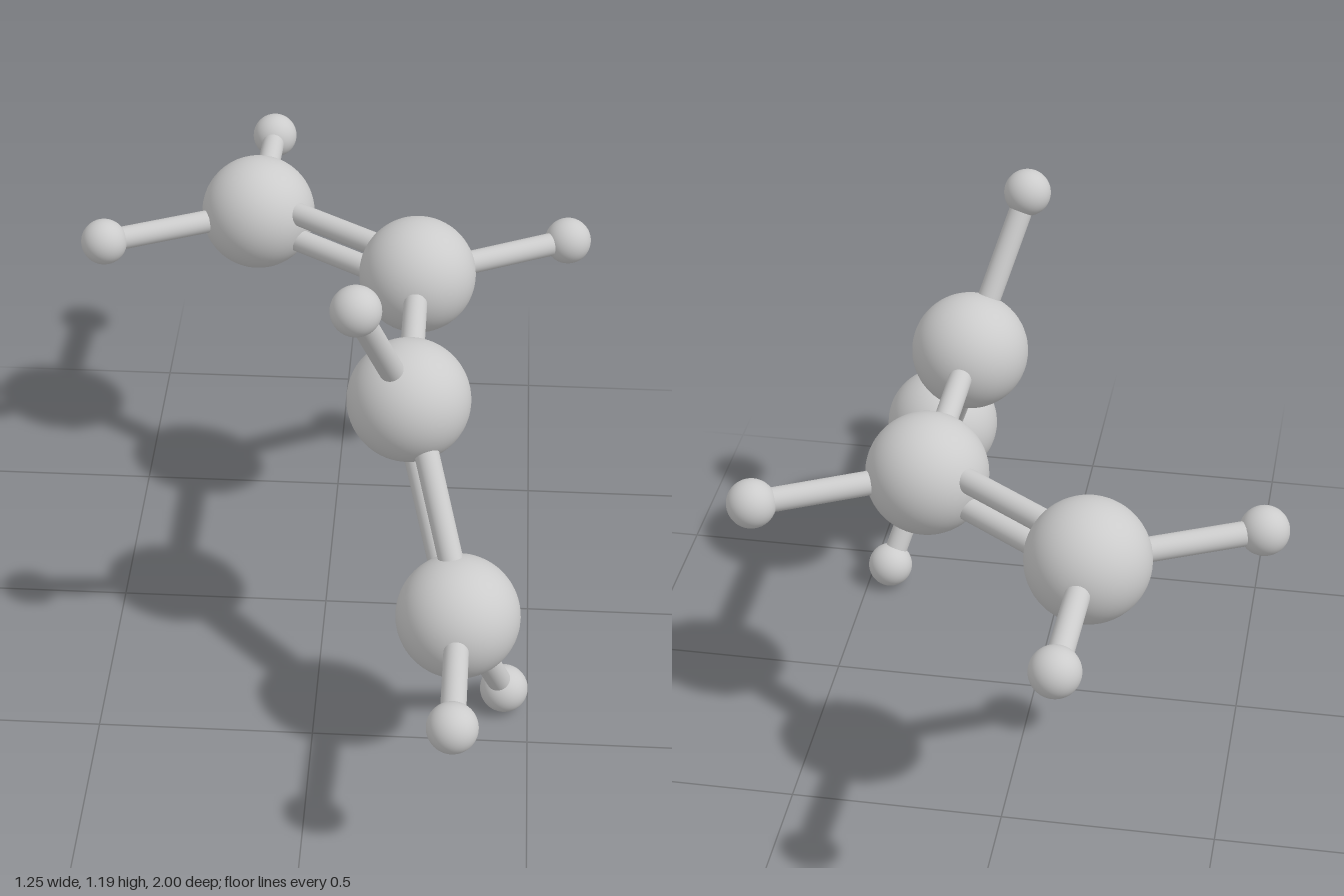
import * as THREE from 'three';

const CARBON_RADIUS = 0.14, HYDROGEN_RADIUS = 0.056, BOND_RADIUS = 0.028;
const DOUBLE_OFFSET = 0.037; // half the gap between the rods of a double bond

const material = new THREE.MeshStandardMaterial({ color: 0xcccccc });
const v = (x, y, z) => new THREE.Vector3(x, y, z);

function addAtom(group, name, position, radius) {
  const atom = new THREE.Mesh(new THREE.SphereGeometry(radius, 48, 32), material);
  atom.name = name;
  atom.position.copy(position);
  group.add(atom);
}

// A rod between two points, optionally shifted sideways
function addBond(group, name, a, b, shift = v(0, 0, 0)) {
  const direction = b.clone().sub(a);
  const rod = new THREE.Mesh(
    new THREE.CylinderGeometry(BOND_RADIUS, BOND_RADIUS, direction.length(), 32), material);
  rod.name = name;
  rod.position.copy(a).add(b).multiplyScalar(0.5).add(shift);
  rod.quaternion.setFromUnitVectors(v(0, 1, 0), direction.normalize());
  group.add(rod);
}

function addDoubleBond(group, name, a, b, normal) {
  for (const side of [-1, 1])
    addBond(group, name, a, b, normal.clone().normalize().multiplyScalar(side * DOUBLE_OFFSET));
}

export function createModel() {
  const model = new THREE.Group();
  model.name = 'ballAndStickMolecule';

  // Chain of four large atoms
  const carbons = [
    v(-0.203, 0.797, -0.545), v(0.203, 0.797, -0.27),
    v(0.203, 0.797, 0.27), v(0.33, 0.405, 0.545),
  ];
  carbons.forEach((p, i) => addAtom(model, `largeAtom${i + 1}`, p, CARBON_RADIUS));

  // Small atoms, each with the index of the large atom that holds it
  const hydrogens = [
    [0, v(-0.568, 0.797, -0.375)], [0, v(-0.193, 0.797, -0.944)],
    [1, v(0.565, 0.797, -0.452)], [2, v(0.092, 1.14, 0.452)],
    [3, v(0.327, 0.42, 0.944)], [3, v(0.443, 0.06, 0.375)],
  ];
  hydrogens.forEach(([owner, p], i) => {
    addAtom(model, `smallAtom${i + 1}`, p, HYDROGEN_RADIUS);
    addBond(model, `smallAtomBond${i + 1}`, carbons[owner], p);
  });

  // Bonds along the chain: double, single, double
  addDoubleBond(model, 'rearDoubleBond', carbons[0], carbons[1], v(0, 1, 0));
  addBond(model, 'middleBond', carbons[1], carbons[2]);
  addDoubleBond(model, 'frontDoubleBond', carbons[2], carbons[3], v(0.326, 0.614, 0.716));

  return model;
}
